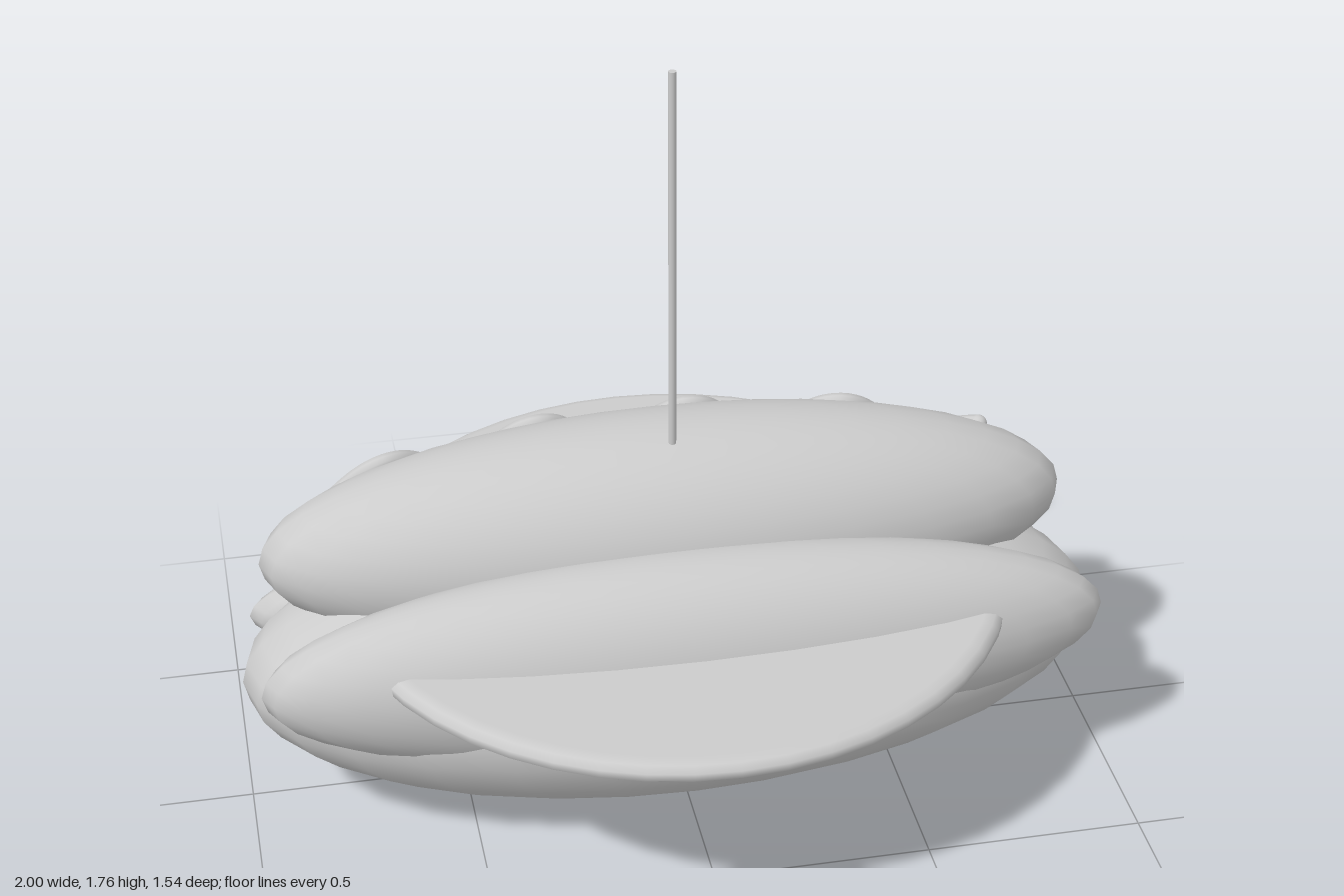
import * as THREE from 'three';

const mat = new THREE.MeshStandardMaterial({ color: 0xcccccc });
const ball = new THREE.SphereGeometry(1, 28, 20);

function add(parent, name, geometry, x = 0, y = 0, z = 0) {
  const mesh = new THREE.Mesh(geometry, mat);
  mesh.name = name;
  mesh.position.set(x, y, z);
  parent.add(mesh);
  return mesh;
}

// Each long rounded piece is a stretched ball: centre y, z and radii
const bun = { y: 0.33, z: 0, r: [1, 0.325, 0.43] };
const sausage = { y: 0.6, z: -0.07, r: [0.94, 0.267, 0.27] };
const frontRoll = { y: 0.44, z: 0.22, r: [0.967, 0.25, 0.197] };
const backRoll = { y: 0.317, z: -0.278, r: [0.965, 0.172, 0.155] };

// Point on the rear of a stretched ball; angle rises from straight back
function rearPoint(e, x, angle, lift = 0) {
  const s = Math.sqrt(1 - (x / e.r[0]) ** 2);
  return new THREE.Vector3(
    x,
    e.y + (e.r[1] * s + lift) * Math.sin(angle),
    e.z - (e.r[2] * s + lift) * Math.cos(angle)
  );
}

export function createModel() {
  const model = new THREE.Group();
  model.name = 'skeweredSandwich';

  for (const [name, e] of Object.entries({ bun, sausage, frontRoll, backRoll })) {
    add(model, name, ball, 0, e.y, e.z).scale.set(...e.r);
  }

  // Round slice with a softened rim
  const profile = [
    [0, -0.028], [0.735, -0.028], [0.757, -0.021], [0.772, -0.009],
    [0.772, 0.009], [0.757, 0.021], [0.735, 0.028], [0, 0.028],
  ].map(([r, y]) => new THREE.Vector2(r, y));
  add(model, 'roundSlice', new THREE.LatheGeometry(profile, 48), 0, 0.508, 0);

  // Wavy line of sauce along the back of the sausage
  const wave = [];
  for (let i = 0; i <= 50; i++) {
    const x = -0.78 + (1.56 * i) / 50;
    const angle = 0.43 - 0.26 * Math.cos((2 * Math.PI * (x + 0.085)) / 0.365);
    wave.push(rearPoint(sausage, x, angle, 0.012));
  }
  const path = new THREE.CatmullRomCurve3(wave);
  const sauce = new THREE.Group();
  sauce.name = 'sauce';
  add(sauce, 'sauceLine', new THREE.TubeGeometry(path, 120, 0.021, 10));
  for (const end of [wave[0], wave[50]]) {
    add(sauce, 'sauceEnd', ball, end.x, end.y, end.z).scale.setScalar(0.021);
  }
  model.add(sauce);

  // Thin leaf edge showing along the back roll
  const leaf = add(model, 'leafEdge', ball, 0, 0.303, -0.365);
  leaf.scale.set(0.7, 0.011, 0.088);
  leaf.rotation.x = -0.55;

  // Small bumps along the upper back roll
  for (const x of [-0.7, -0.35, 0.06, 0.45, 0.75]) {
    const p = rearPoint(backRoll, x, 0.82);
    add(model, 'bump', ball, p.x, p.y, p.z).scale.set(0.03, 0.012, 0.012);
  }

  // Upright skewer
  add(model, 'skewer', new THREE.CylinderGeometry(0.009, 0.009, 1.37, 12), 0, 1.085, 0);

  return model;
}
